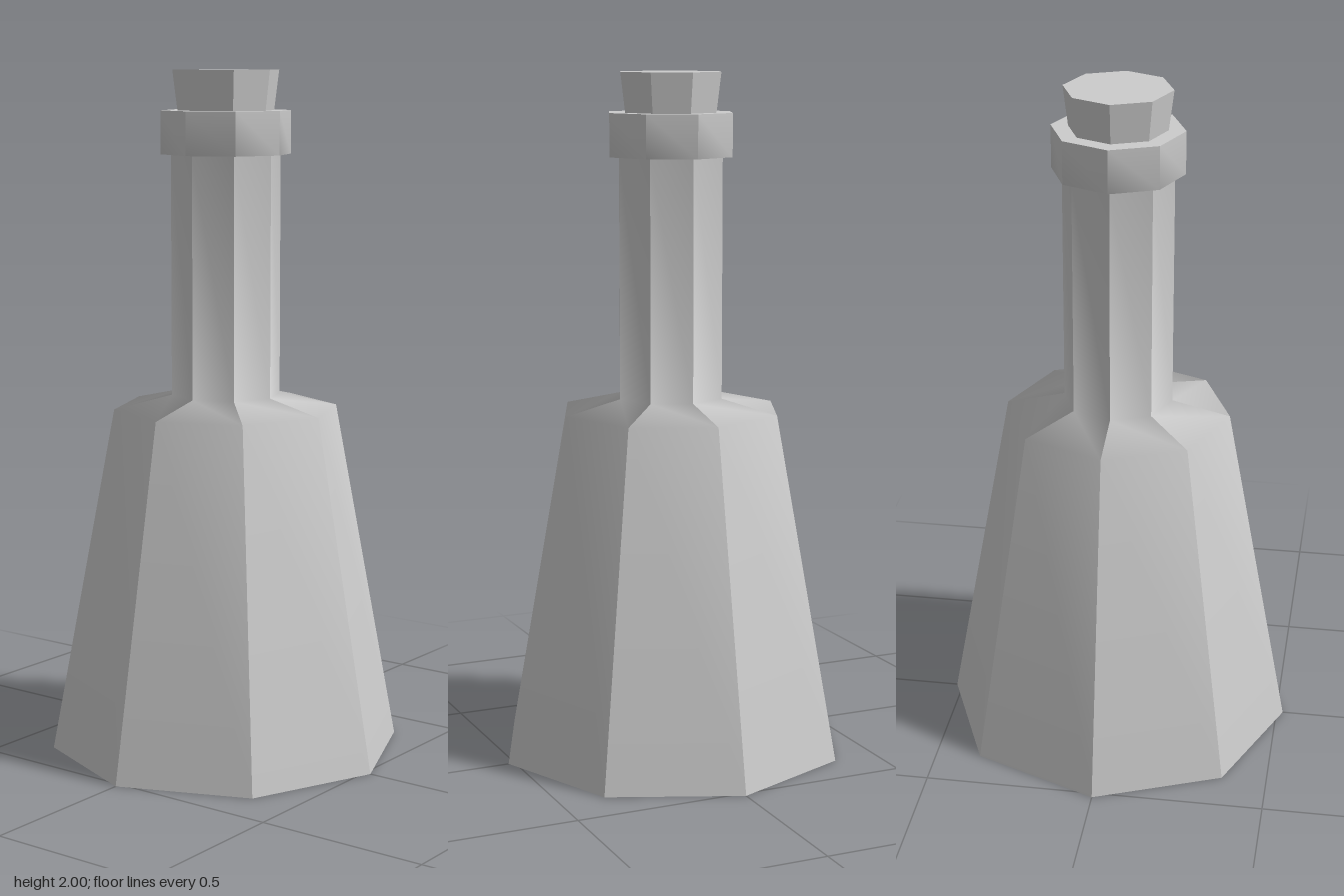
import * as THREE from 'three';
import { mergeGeometries } from 'three/addons/utils/BufferGeometryUtils.js';

const SIDES = 8;

// Octagonal lathe: smooth along the profile, sharp between the eight facets.
function facetedLathe(profile) {
  const points = profile.map(([r, y]) => new THREE.Vector2(r, y));
  const step = (Math.PI * 2) / SIDES;
  const facets = [];
  for (let i = 0; i < SIDES; i++) {
    const facet = new THREE.LatheGeometry(points, 1, i * step, step);
    facet.computeVertexNormals();
    facets.push(facet);
  }
  return mergeGeometries(facets);
}

export function createModel() {
  const group = new THREE.Group();
  const smooth = new THREE.MeshStandardMaterial({ color: 0xcccccc });
  const flat = new THREE.MeshStandardMaterial({ color: 0xcccccc, flatShading: true });

  const add = (name, geometry, material) => {
    const mesh = new THREE.Mesh(geometry, material);
    mesh.name = name;
    group.add(mesh);
    return mesh;
  };

  // Tapered body, shoulder, neck and raised collar in one profile
  add('bottleBody', facetedLathe([
    [0.52, 0], [0.33, 1.02], [0.16, 1.06],
    [0.16, 1.76], [0.19, 1.76], [0.19, 1.885],
  ]), smooth);

  // Flat underside with a tiny centre hole
  add('bottleBase', facetedLathe([[0.012, 0], [0.52, 0]]), flat);

  // Flat rim on top of the collar
  add('collarRim', facetedLathe([[0.19, 1.885], [0.135, 1.885]]), flat);

  // Tapered stopper, sunk into the neck
  const stopper = add('stopper', new THREE.CylinderGeometry(0.155, 0.13, 0.2, SIDES), flat);
  stopper.position.y = 1.9;

  return group;
}
